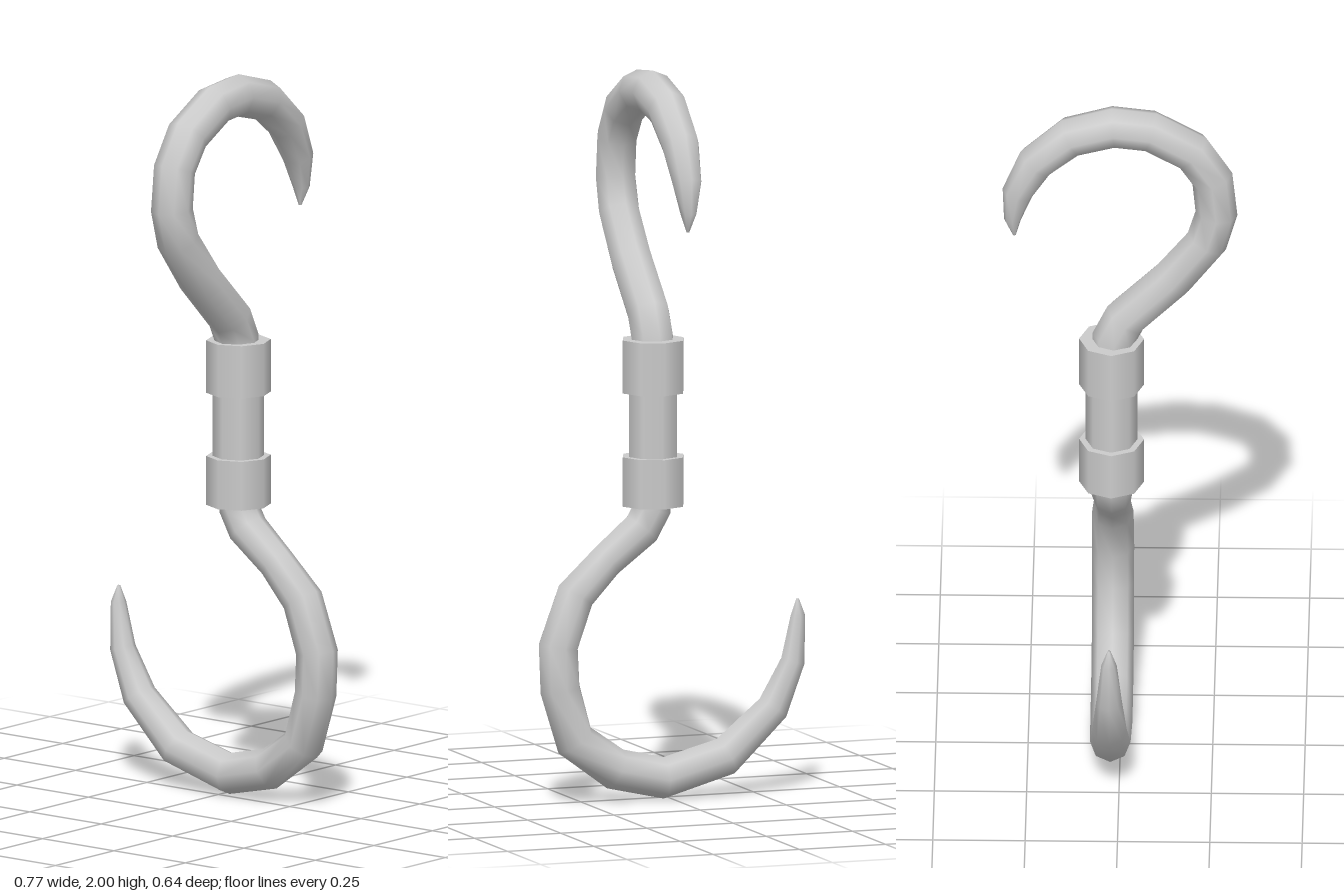
import * as THREE from 'three';

const SIDES = 8;
const AXIS_X = 0.05, AXIS_Z = -0.025;

// Tapered tube through flat-path rings; each entry is [across, height, radius].
// place() maps (across, height) to 3D, binormal is the normal of the hook's plane.
function hookGeometry(rings, place, binormal) {
  const centres = rings.map(([u, y]) => place(u, y));
  const positions = [], indices = [];
  centres.forEach((p, i) => {
    const before = centres[Math.max(i - 1, 0)];
    const after = centres[Math.min(i + 1, centres.length - 1)];
    const tIn = p.clone().sub(before).normalize();
    const tOut = after.clone().sub(p).normalize();
    const tangent = tIn.add(tOut).normalize();
    const normal = binormal.clone().cross(tangent);
    for (let j = 0; j < SIDES; j++) {
      const a = (j / SIDES) * Math.PI * 2;
      const v = p.clone()
        .addScaledVector(normal, rings[i][2] * Math.cos(a))
        .addScaledVector(binormal, rings[i][2] * Math.sin(a));
      positions.push(v.x, v.y, v.z);
    }
  });
  for (let i = 0; i < rings.length - 1; i++) {
    for (let j = 0; j < SIDES; j++) {
      const k = (j + 1) % SIDES;
      const a = i * SIDES + j, b = i * SIDES + k;
      indices.push(a, b, a + SIDES, b, b + SIDES, a + SIDES);
    }
  }
  // Close the tip
  const last = (rings.length - 1) * SIDES;
  for (let j = 1; j < SIDES - 1; j++) indices.push(last, last + j, last + j + 1);

  const geometry = new THREE.BufferGeometry();
  geometry.setAttribute('position', new THREE.Float32BufferAttribute(positions, 3));
  geometry.setIndex(indices);
  geometry.computeVertexNormals();
  return geometry;
}

export function createModel() {
  const group = new THREE.Group();
  const material = new THREE.MeshStandardMaterial({ color: 0xcccccc });
  const add = (name, geometry) => {
    const mesh = new THREE.Mesh(geometry, material);
    mesh.name = name;
    group.add(mesh);
    return mesh;
  };

  // Octagonal swivel: thin core between two wider collars
  const barrel = (name, radius, y0, y1) => {
    const mesh = add(name, new THREE.CylinderGeometry(radius, radius, y1 - y0, SIDES));
    mesh.position.set(AXIS_X, (y0 + y1) / 2, AXIS_Z);
  };
  barrel('lowerCollar', 0.088, 0.81, 0.945);
  barrel('swivelCore', 0.07, 0.9, 1.16);
  barrel('upperCollar', 0.088, 1.12, 1.265);

  // Lower hook opens sideways, in the x-y plane
  const lower = [
    [0.05, 0.86, 0.055], [0.053, 0.8, 0.055], [0.083, 0.747, 0.055], [0.185, 0.665, 0.05],
    [0.275, 0.575, 0.056], [0.325, 0.437, 0.057], [0.32, 0.32, 0.057],
    [0.278, 0.178, 0.057], [0.16, 0.093, 0.057], [0.02, 0.061, 0.057],
    [-0.16, 0.11, 0.055], [-0.297, 0.235, 0.047], [-0.355, 0.36, 0.035],
    [-0.37, 0.485, 0.021], [-0.369, 0.53, 0.004],
  ];
  add('lowerHook', hookGeometry(lower,
    (u, y) => new THREE.Vector3(u, y, AXIS_Z), new THREE.Vector3(0, 0, 1)));

  // Upper hook is turned a quarter, in the z-y plane
  const upper = [
    [-0.02, 1.21, 0.06], [-0.018, 1.27, 0.06], [0.012, 1.333, 0.06], [0.14, 1.46, 0.059],
    [0.233, 1.58, 0.058], [0.259, 1.67, 0.057], [0.248, 1.78, 0.057],
    [0.193, 1.865, 0.058], [0.08, 1.93, 0.058], [-0.02, 1.942, 0.058],
    [-0.135, 1.91, 0.057], [-0.23, 1.828, 0.053], [-0.28, 1.73, 0.042],
    [-0.293, 1.645, 0.023], [-0.288, 1.595, 0.004],
  ];
  add('upperHook', hookGeometry(upper,
    (u, y) => new THREE.Vector3(AXIS_X, y, u), new THREE.Vector3(1, 0, 0)));

  return group;
}
